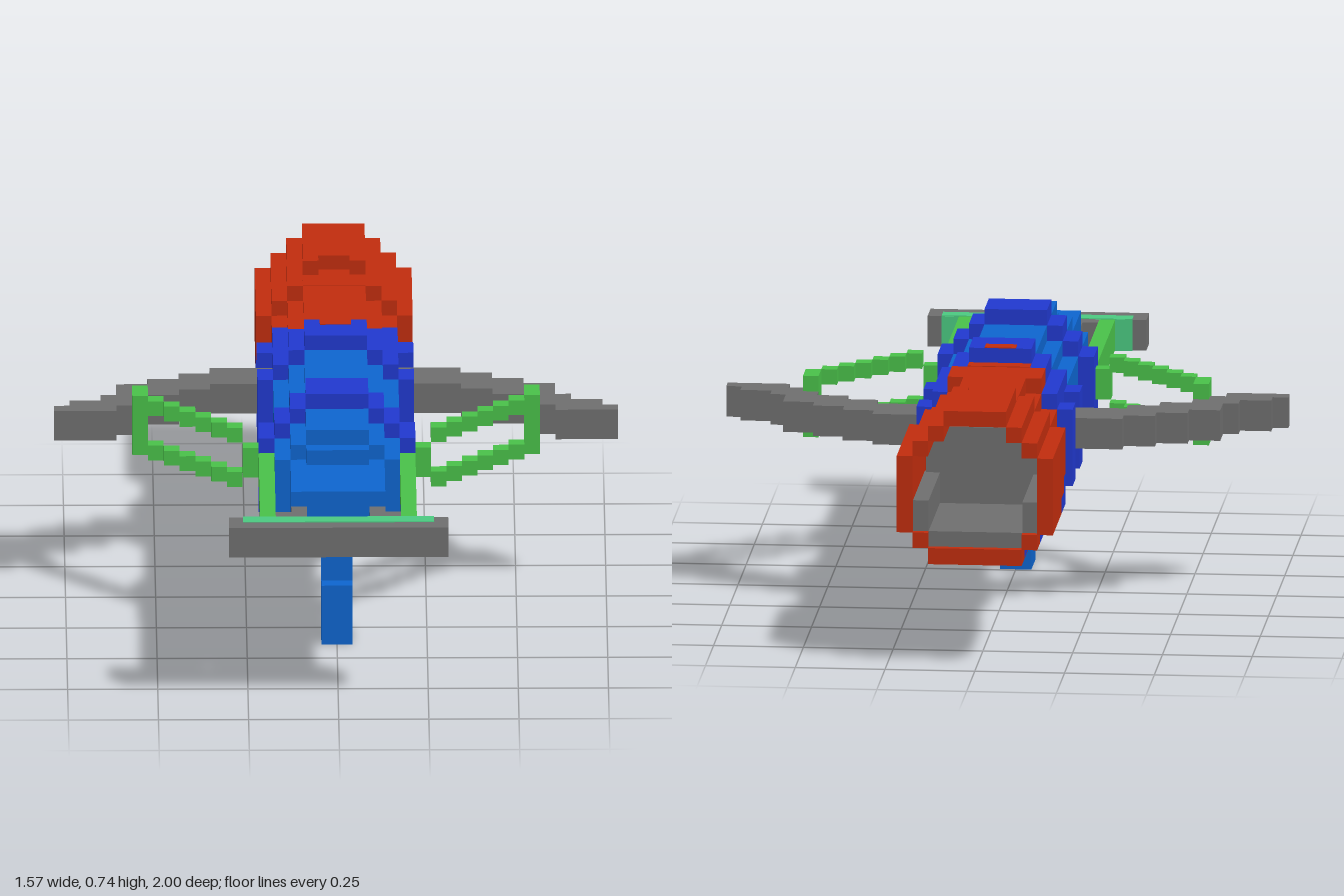
import * as THREE from 'three';

const U = 2 / 46; // one block

const mat = (name, hex) => {
  const m = new THREE.MeshStandardMaterial({ color: hex });
  m.name = name;
  return m;
};

export function createModel() {
  const blue = mat('blue', 0x0e66d0);
  const navy = mat('deepBlue', 0x2139d0);
  const red = mat('red', 0xc22d0e);
  const grey = mat('grey', 0x707070);
  const green = mat('green', 0x4ac24a);
  const teal = mat('seaGreen', 0x4ccb82);

  const root = new THREE.Group();
  root.name = 'crossbowBlaster';
  const part = (name) => {
    const g = new THREE.Group();
    g.name = name;
    root.add(g);
    return g;
  };

  // box given by its limits in block units
  const box = (g, m, x0, x1, y0, y1, z0, z1) => {
    const mesh = new THREE.Mesh(
      new THREE.BoxGeometry((x1 - x0) * U, (y1 - y0) * U, (z1 - z0) * U), m);
    mesh.position.set((x0 + x1) / 2 * U, (y0 + y1) / 2 * U, (z0 + z1) / 2 * U);
    mesh.name = g.name + 'Block';
    g.add(mesh);
  };
  // centred slab, and a mirrored pair
  const slab = (g, m, w, y0, y1, z0, z1) => box(g, m, -w, w, y0, y1, z0, z1);
  const pair = (g, m, x0, x1, y0, y1, z0, z1) => {
    box(g, m, x0, x1, y0, y1, z0, z1);
    box(g, m, -x1, -x0, y0, y1, z0, z1);
  };

  // main body, stepped towards the muzzle
  const body = part('body');
  slab(body, blue, 3, 8, 9, -2, 6);
  slab(body, blue, 4, 9, 14, -2, 13);
  slab(body, blue, 3, 14, 15, -2, 13);
  slab(body, blue, 2, 15, 16, -2, 13);
  slab(body, blue, 2, 9, 15, 13, 14);
  slab(body, blue, 3, 10, 14, 13, 19);

  // handle
  const handle = part('handle');
  slab(handle, blue, 1, 0, 4, 6, 9);
  slab(handle, blue, 1, 4, 7, 5, 8);
  slab(handle, blue, 1, 3, 4, 5, 6);
  slab(handle, blue, 1, 7, 8, 4, 7);

  // front collar
  const collar = part('frontCollar');
  [[4, 8, 9], [5, 9, 14], [4, 14, 15], [3, 15, 16], [2, 16, 17]]
    .forEach(([w, a, b]) => slab(collar, navy, w, a, b, 6, 9));

  // rear collar with slots for the bow limbs
  const rear = part('rearCollar');
  slab(rear, navy, 3, 7, 8, -14, -2);
  slab(rear, navy, 4, 8, 10, -14, -2);
  slab(rear, navy, 4, 10, 15, -9, -2);
  slab(rear, navy, 3, 15, 16, -6, -2);
  slab(rear, navy, 2, 16, 17, -5, -2);
  pair(rear, navy, 4, 5, 9, 14, -4, -2);
  pair(rear, navy, 4, 5, 9, 14, -9, -7);

  // red stock, middle section
  const stock = part('stock');
  slab(stock, red, 4, 10, 14, -14, -9);
  slab(stock, red, 3, 14, 15, -14, -9);
  slab(stock, red, 3, 15, 16, -9, -6);
  slab(stock, red, 2, 15, 16, -14, -9);
  slab(stock, red, 2, 16, 16.05, -6, -5);
  slab(stock, red, 1, 17, 17.05, -5, -4);

  // hollow rear tube: rows of [y0, y1, outer, inner, z where blue turns red]
  const tube = part('rearTube');
  [[7, 8, 3, 0, -21], [8, 9, 4, 3, -21], [9, 10, 5, 4, -17], [10, 11, 5, 4, -15],
    [11, 14, 5, 4, -14], [14, 15, 4, 3, -14], [15, 16, 3, 2, -14]]
    .forEach(([a, b, o, i, zc]) => {
      pair(tube, red, i, o, a, b, -23, zc);
      if (zc < -14) pair(tube, navy, i, o, a, b, zc, -14);
    });
  slab(tube, red, 2, 16, 17, -23, -17);
  slab(tube, red, 2, 16, 16.05, -17, -14);
  pair(tube, red, 1, 2, 16, 17, -17, -16);
  slab(tube, red, 3, 6.95, 7, -23, -15);

  // grey trough lining the tube
  const trough = part('tubeLining');
  slab(trough, grey, 3, 8, 9, -22.5, -14);
  pair(trough, grey, 3, 4, 9, 11, -22.5, -14);
  slab(trough, grey, 3.9, 9, 14, -14.5, -14);

  // stepped bow limbs: columns of [x0, x1, z0, z1]
  const limbs = part('bowLimbs');
  [[4, 8, -7, -4], [8, 10, -6, -3], [10, 12, -5, -2], [12, 13, -4, -1],
    [13, 14, -4, 0], [14, 15, -2, 1], [15, 17, -1, 1], [17, 18, 0, 1]]
    .forEach(([x0, x1, z0, z1]) => pair(limbs, grey, x0, x1, 11, 13, z0, z1));

  // double strings running in steps from the limbs to the collar
  const strings = part('strings');
  for (let i = 0; i < 6; i++) {
    for (const y of [10, 13]) pair(strings, green, 6 + i, 7 + i, y, y + 1, 6 - i, 7 - i);
  }
  pair(strings, green, 12, 13, 10, 14, -1, 1);
  pair(strings, green, 5, 6, 11, 13, 7, 8);

  // side rails
  const rails = part('sideRails');
  pair(rails, green, 4, 5, 11, 13, 9, 21);

  // front crossbar with its struts and inlay
  const bar = part('frontBar');
  slab(bar, grey, 7, 11, 13, 21, 23);
  pair(bar, grey, 2, 4, 11, 13, 20, 21);
  pair(bar, grey, 2, 3, 11, 13, 19, 20);
  const inlay = part('barInlay');
  for (const y of [10.95, 13]) {
    slab(inlay, teal, 6.1, y, y + 0.05, 21, 22);
  }
  slab(inlay, teal, 6.1, 11, 13, 20.95, 21);

  return root;
}
